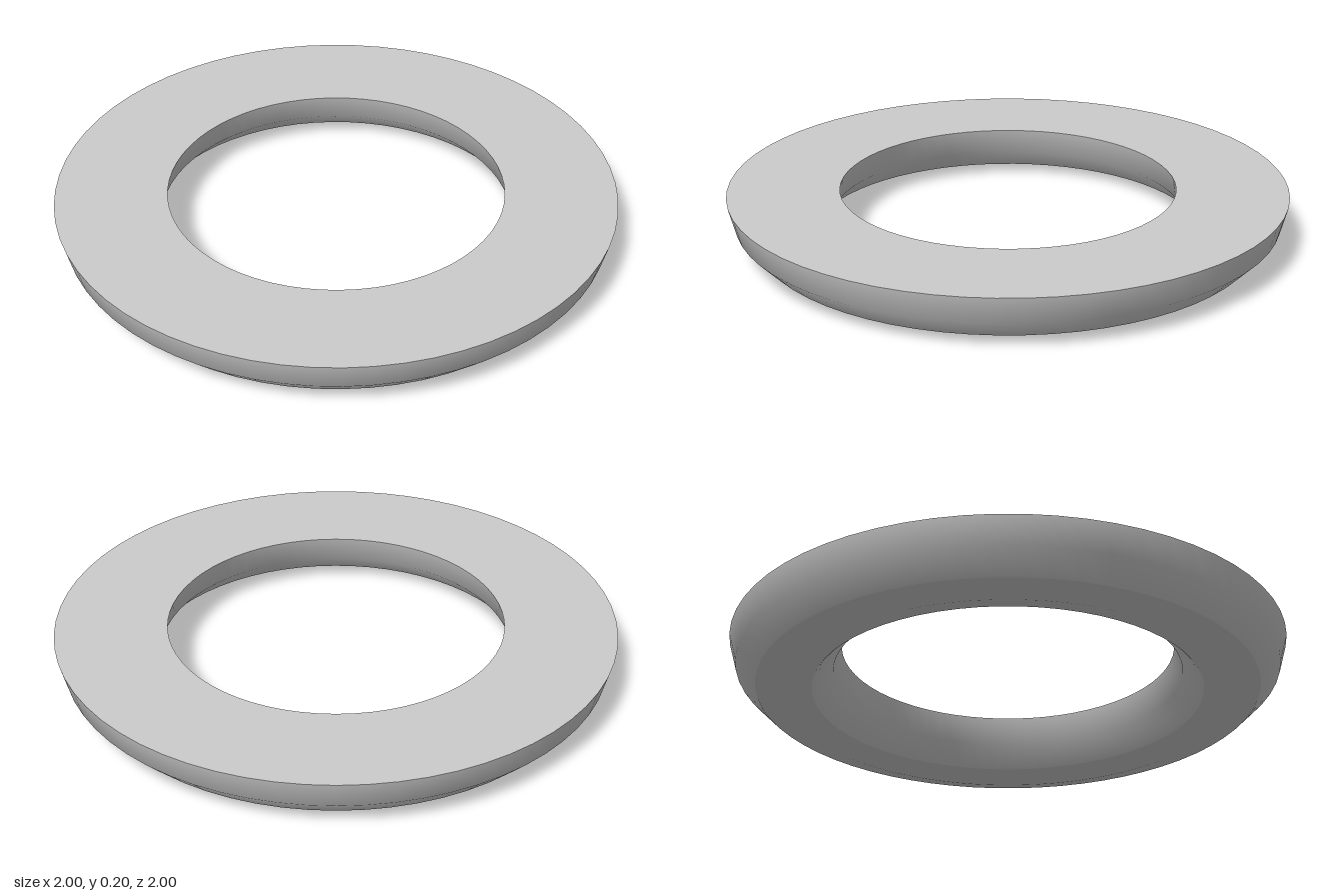
import * as THREE from 'three';
import { mergeGeometries } from 'three/addons/utils/BufferGeometryUtils.js';

const RING = 0.8, TUBE = 0.2, STEPS = 6, SIDES = 64;

// Point on the lower half circle of the cross-section: step 0 is the inner rim, step 6 the outer rim
function profilePoint(step) {
  const a = Math.PI + (step / STEPS) * Math.PI;
  return new THREE.Vector2(RING + TUBE * Math.cos(a), TUBE + TUBE * Math.sin(a));
}

// One smooth band of the ring, with sharp edges where it meets its neighbours
function band(steps) {
  return new THREE.LatheGeometry(steps.map(profilePoint), SIDES);
}

export function createModel() {
  const group = new THREE.Group();
  group.name = 'halfRoundRing';
  const material = new THREE.MeshStandardMaterial({ color: 0xcccccc });

  // Rounded underside: smooth inner and outer walls, two flat-edged bands at the bottom
  const underside = new THREE.Mesh(
    mergeGeometries([band([0, 1, 2]), band([2, 3]), band([3, 4]), band([4, 5, 6])]),
    material
  );
  underside.name = 'roundedUnderside';

  // Flat top face, wound from the outer rim to the inner rim so that it faces up
  const top = new THREE.Mesh(band([6, 0]), material);
  top.name = 'flatTop';

  group.add(underside, top);
  return group;
}
